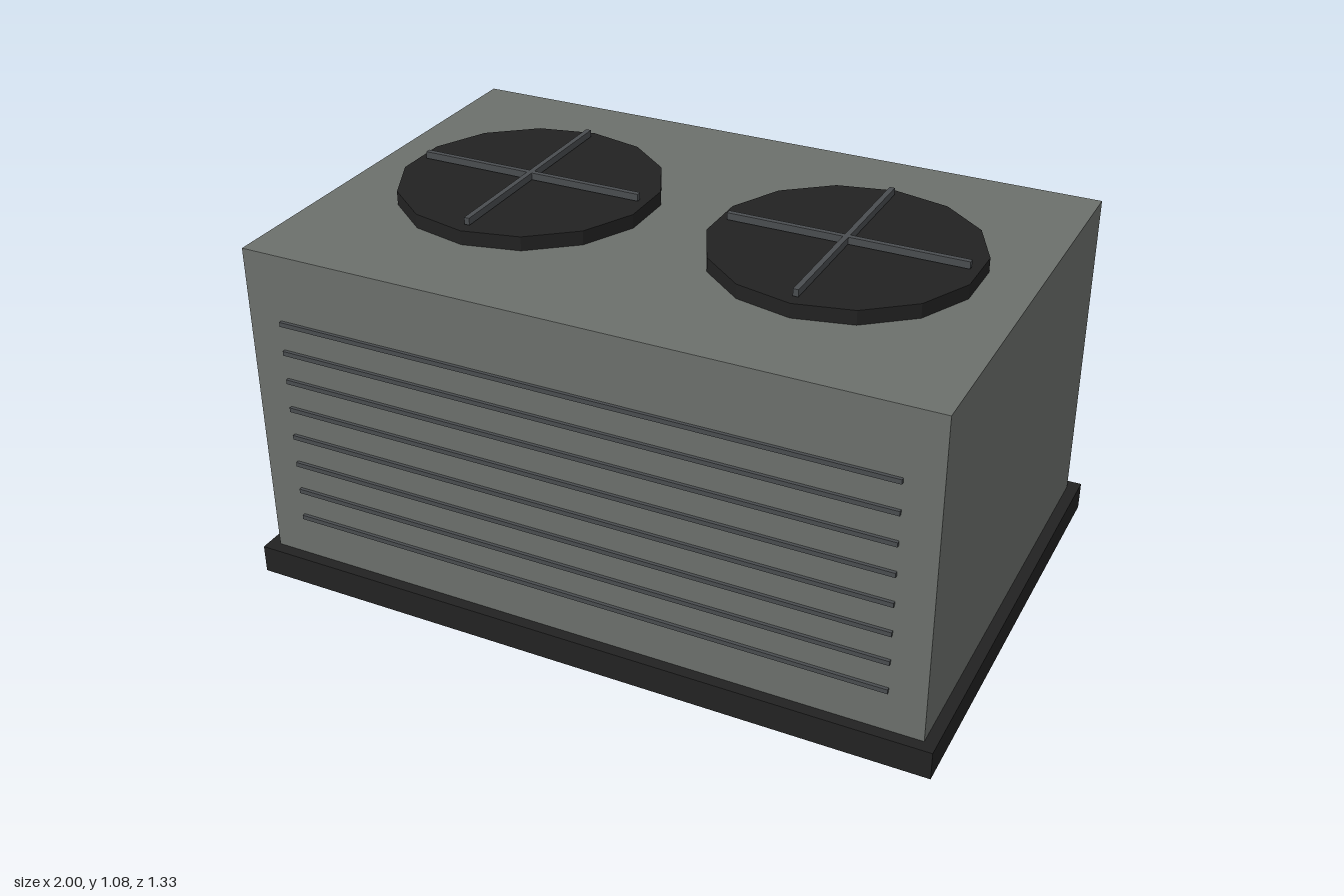
import * as THREE from 'three';

export function createModel() {
  const group = new THREE.Group();
  const material = (name, color) => {
    const m = new THREE.MeshStandardMaterial({ color, flatShading: true });
    m.name = name;
    return m;
  };
  const casing = material('casing grey', 0x6c706c);
  const dark = material('dark trim', 0x222222);
  const metal = material('slate metal', 0x4a4d50);

  const add = (parent, name, geometry, mat, x, y, z) => {
    const mesh = new THREE.Mesh(geometry, mat);
    mesh.name = name;
    mesh.position.set(x, y, z);
    parent.add(mesh);
  };
  const box = (w, h, d) => new THREE.BoxGeometry(w, h, d);

  // Base plinth and cabinet
  add(group, 'base', box(2, 0.082, 1.333), dark, 0, 0.041, 0);
  add(group, 'cabinet', box(1.933, 0.933, 1.267), casing, 0, 0.5485, 0);

  // Horizontal louvers on the front
  for (let i = 0; i < 8; i++) {
    add(group, 'louver', box(1.733, 0.013, 0.013), metal, 0, 0.208 + i * 0.0871, 0.6365);
  }

  // Two fan housings on the roof, each with a crossed guard
  for (const side of [-1, 1]) {
    const fan = new THREE.Group();
    fan.name = side > 0 ? 'leftFan' : 'rightFan';
    fan.position.set(side * 0.465, 1.015, 0);
    add(fan, 'fanHousing', new THREE.CylinderGeometry(0.367, 0.367, 0.04, 14), dark, 0, 0.02, 0);
    add(fan, 'guardBarAcross', box(0.667, 0.02, 0.015), metal, 0, 0.053, 0);
    add(fan, 'guardBarAlong', box(0.015, 0.02, 0.667), metal, 0, 0.053, 0);
    group.add(fan);
  }
  return group;
}
